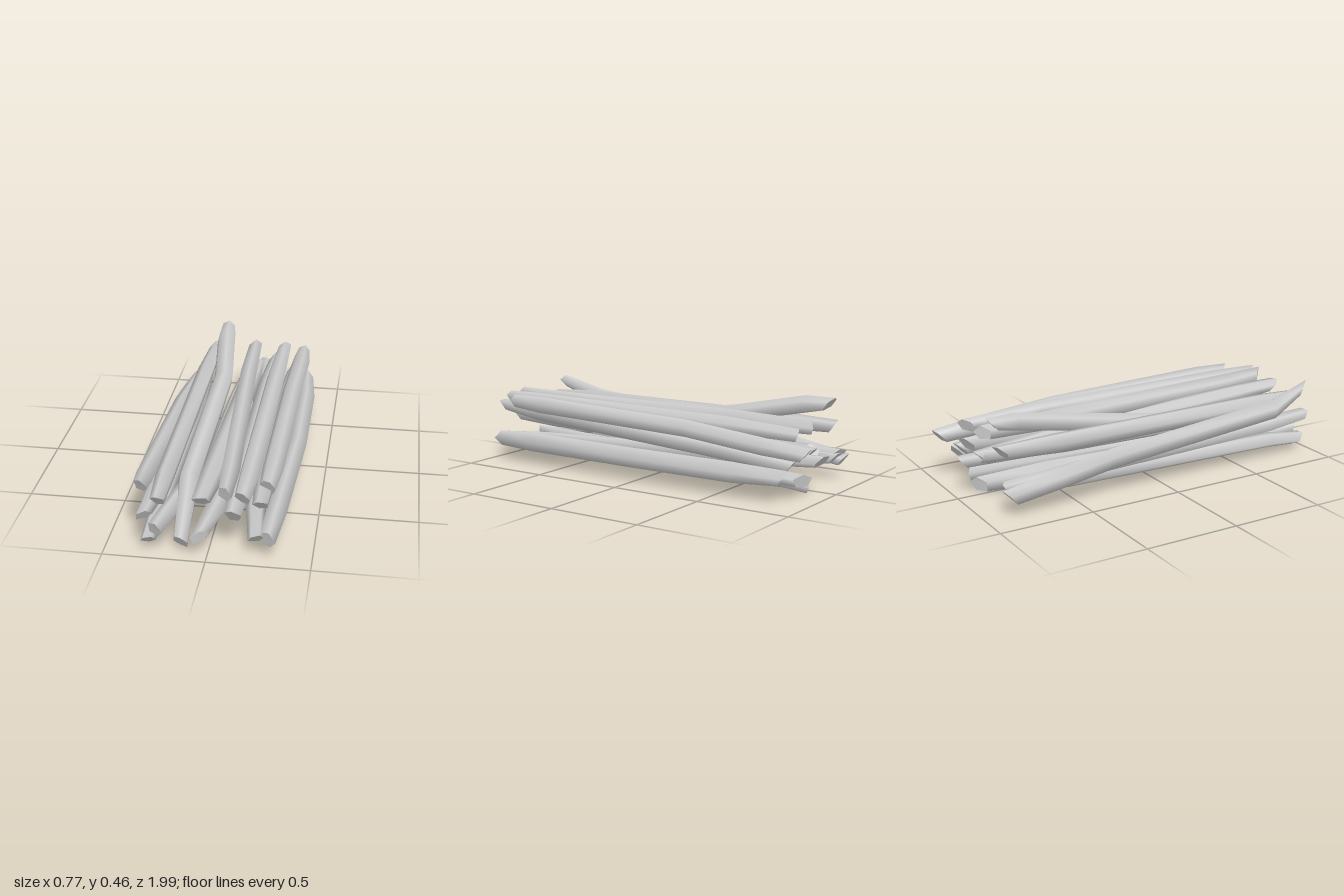
import * as THREE from 'three';

// One rough-cut stick: a faceted tube through points listed front to back,
// narrower at the two slanted ends, with a flat cap on each.
function stickGeometry(path, radius, sides, turn) {
  const pos = [], index = [];
  const last = path.length - 1;
  const ringPoint = (k, i) => {
    const [x, y, z] = path[k];
    const isEnd = k === 0 || k === last;
    const a = turn + (i / sides) * Math.PI * 2;
    const uneven = 1 + 0.12 * Math.sin(i * 2.4 + turn * 3);
    const r = radius * uneven * (isEnd ? 0.78 : 1);
    const slant = isEnd ? 0.035 * Math.cos(a - turn * 2 - k) : 0;
    return [x + r * Math.cos(a), y + r * Math.sin(a), z + slant];
  };
  // smooth sides
  for (let k = 0; k <= last; k++) {
    for (let i = 0; i < sides; i++) pos.push(...ringPoint(k, i));
  }
  for (let k = 0; k < last; k++) {
    for (let i = 0; i < sides; i++) {
      const j = (i + 1) % sides;
      const a = k * sides + i, b = k * sides + j;
      const d = a + sides, c = b + sides;
      index.push(a, d, b, b, d, c);
    }
  }
  // end caps with their own corners, so the rims stay sharp
  for (const k of [0, last]) {
    const start = pos.length / 3;
    for (let i = 0; i < sides; i++) pos.push(...ringPoint(k, i));
    for (let i = 1; i < sides - 1; i++) {
      if (k === 0) index.push(start, start + i, start + i + 1);
      else index.push(start, start + i + 1, start + i);
    }
  }
  const g = new THREE.BufferGeometry();
  g.setAttribute('position', new THREE.Float32BufferAttribute(pos, 3));
  g.setIndex(index);
  g.computeVertexNormals();
  return g;
}

export function createModel() {
  const group = new THREE.Group();
  group.name = 'stickBundle';
  const wood = new THREE.MeshStandardMaterial({ color: 0xcccccc });
  wood.name = 'greyWood';

  const add = (name, radius, sides, turn, ...path) => {
    const mesh = new THREE.Mesh(stickGeometry(path, radius, sides, turn), wood);
    mesh.name = name;
    group.add(mesh);
  };

  // left side
  add('leaningOuterStick', 0.05, 5, 0.3,
    [-0.31, 0.37, 0.95], [-0.338, 0.29, 0.72], [-0.34, 0.2, -0.3], [-0.338, 0.15, -0.6], [-0.34, 0.105, -0.87]);
  add('upperStraightStick', 0.05, 5, 0.6,
    [-0.23, 0.295, 0.95], [-0.235, 0.3, 0.72], [-0.24, 0.3, -0.55], [-0.235, 0.3, -0.86]);
  add('middleStick', 0.046, 5, 1.2,
    [-0.3, 0.21, 0.95], [-0.295, 0.19, 0.72], [-0.285, 0.15, -0.5], [-0.3, 0.14, -0.86]);
  add('lowStick', 0.046, 5, 0.9,
    [-0.285, 0.07, 0.94], [-0.28, 0.09, 0.75], [-0.28, 0.11, -0.5], [-0.29, 0.12, -0.85]);

  // centre
  add('bentTopStick', 0.051, 6, 0.4,
    [-0.13, 0.065, 0.93], [-0.155, 0.19, 0.55], [-0.115, 0.335, -0.35], [-0.155, 0.415, -0.74], [-0.165, 0.425, -0.87]);
  add('crossingBottomStick', 0.053, 5, 0.2,
    [-0.25, 0.135, 0.95], [-0.215, 0.11, 0.7], [-0.02, 0.065, -0.5], [0.045, 0.04, -0.86]);
  add('shortCentreStick', 0.046, 5, 2.0,
    [-0.06, 0.195, 0.47], [-0.055, 0.195, 0.25], [-0.04, 0.2, -0.4], [-0.01, 0.21, -0.85]);
  add('centreStick', 0.051, 6, 0.8,
    [-0.025, 0.31, 0.95], [-0.015, 0.295, 0.7], [0.005, 0.23, -0.5], [0.015, 0.195, -0.86]);
  add('centreTopStick', 0.049, 5, 0.1,
    [0.085, 0.35, 0.94], [0.075, 0.335, 0.7], [0.01, 0.33, -0.45], [0, 0.33, -0.85]);
  add('lowCentreStick', 0.05, 5, 1.5,
    [-0.035, 0.11, 0.95], [0, 0.105, 0.7], [0.09, 0.09, -0.5], [0.115, 0.08, -0.87]);

  // right side
  add('squareStick', 0.056, 5, 0.5,
    [0.125, 0.235, 0.94], [0.125, 0.235, 0.72], [0.12, 0.235, -0.5], [0.13, 0.235, -0.88]);
  add('topRightStick', 0.049, 6, 0.3,
    [0.17, 0.34, 0.95], [0.175, 0.335, 0.75], [0.175, 0.33, -0.45], [0.175, 0.32, -0.86]);
  add('crossingRightStick', 0.048, 5, 1.0,
    [0.235, 0.12, 0.94], [0.205, 0.13, 0.7], [0.085, 0.16, -0.5], [0.05, 0.175, -0.94]);
  add('leaningRightStick', 0.05, 5, 0.7,
    [0.255, 0.305, 0.94], [0.25, 0.285, 0.72], [0.24, 0.21, -0.5], [0.24, 0.175, -0.87]);
  add('longRightStick', 0.05, 6, 0.2,
    [0.275, 0.34, 0.83], [0.28, 0.335, 0.65], [0.28, 0.31, -0.3], [0.285, 0.27, -0.75], [0.28, 0.25, -0.97]);
  add('lowRightStick', 0.055, 5, 0.1,
    [0.285, 0.12, 0.94], [0.3, 0.125, 0.7], [0.333, 0.13, 0], [0.328, 0.13, -0.6], [0.31, 0.13, -0.86]);

  return group;
}
